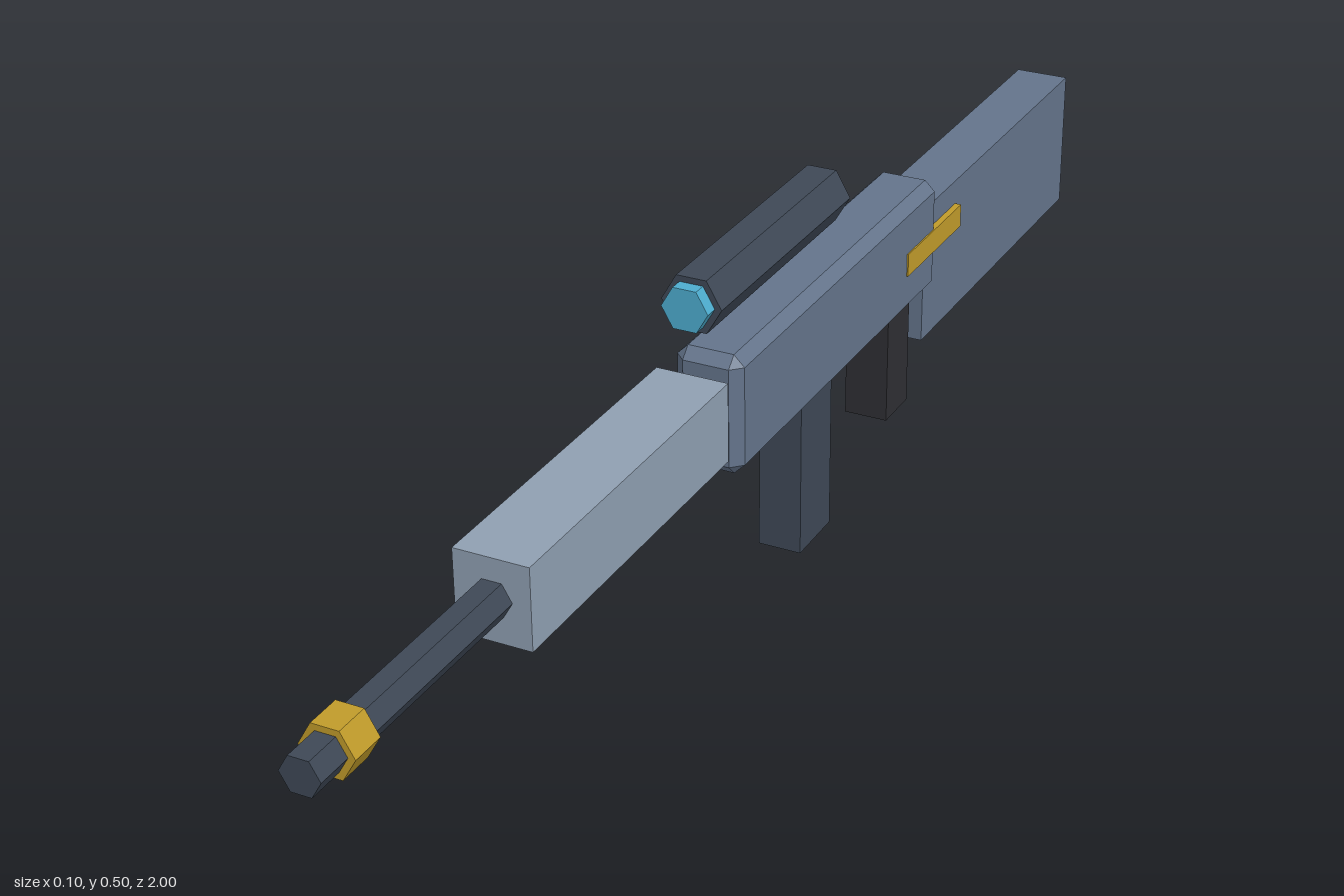
import * as THREE from 'three';
import { ConvexGeometry } from 'three/addons/geometries/ConvexGeometry.js';

const mat = (color) => new THREE.MeshStandardMaterial({ color, flatShading: true });
const STEEL = mat(0x64748b), PALE = mat(0x8f9fb1), DARK = mat(0x3e4856);
const BLACK = mat(0x2e2e33), GOLD = mat(0xc09b2a), GLASS = mat(0x4dacce);

export function createModel() {
  const model = new THREE.Group();

  const add = (name, geometry, material) => {
    const mesh = new THREE.Mesh(geometry, material);
    mesh.name = name;
    model.add(mesh);
  };

  // Box given by half width and its y and z ranges
  const box = (name, material, hx, y0, y1, z0, z1) => {
    const g = new THREE.BoxGeometry(2 * hx, y1 - y0, z1 - z0);
    add(name, g.translate(0, (y0 + y1) / 2, (z0 + z1) / 2), material);
  };

  // Six-sided rod along z with corners pointing left and right
  const rod = (name, material, radius, y, z0, z1) => {
    const g = new THREE.CylinderGeometry(radius, radius, z1 - z0, 6, 1, false, Math.PI / 2);
    add(name, g.rotateX(Math.PI / 2).translate(0, y, (z0 + z1) / 2), material);
  };

  // Box with every edge chamfered by c
  const chamferedBox = (name, material, hx, y0, y1, z0, z1, c) => {
    const hy = (y1 - y0) / 2, hz = (z1 - z0) / 2, points = [];
    for (const sx of [-1, 1]) for (const sy of [-1, 1]) for (const sz of [-1, 1]) {
      for (let axis = 0; axis < 3; axis++) {
        const inset = [c, c, c];
        inset[axis] = 0;
        points.push(new THREE.Vector3(
          sx * (hx - inset[0]), sy * (hy - inset[1]), sz * (hz - inset[2])));
      }
    }
    const g = new ConvexGeometry(points);
    add(name, g.translate(0, (y0 + y1) / 2, (z0 + z1) / 2), material);
  };

  // Body
  chamferedBox('receiver', STEEL, 0.0455, 0.22, 0.383, -0.485, 0.13, 0.0145);
  box('stock', STEEL, 0.0385, 0.147, 0.347, -1, -0.455);
  box('handguard', PALE, 0.048, 0.265, 0.371, 0.165, 0.635);
  box('sideBar', GOLD, 0.0475, 0.279, 0.312, -0.565, -0.38);

  // Parts below the receiver
  box('magazine', DARK, 0.03, 0, 0.24, -0.172, -0.08);
  box('grip', BLACK, 0.031, 0.066, 0.24, -0.426, -0.355);

  // Barrel and muzzle
  rod('barrel', DARK, 0.025, 0.32, 0.1, 1);
  rod('muzzleRing', GOLD, 0.034, 0.32, 0.908, 0.953);

  // Scope
  rod('scopeTube', DARK, 0.04, 0.465, -0.2, 0.165);
  rod('scopeLens', GLASS, 0.031, 0.465, 0.15, 0.183);

  return model;
}
